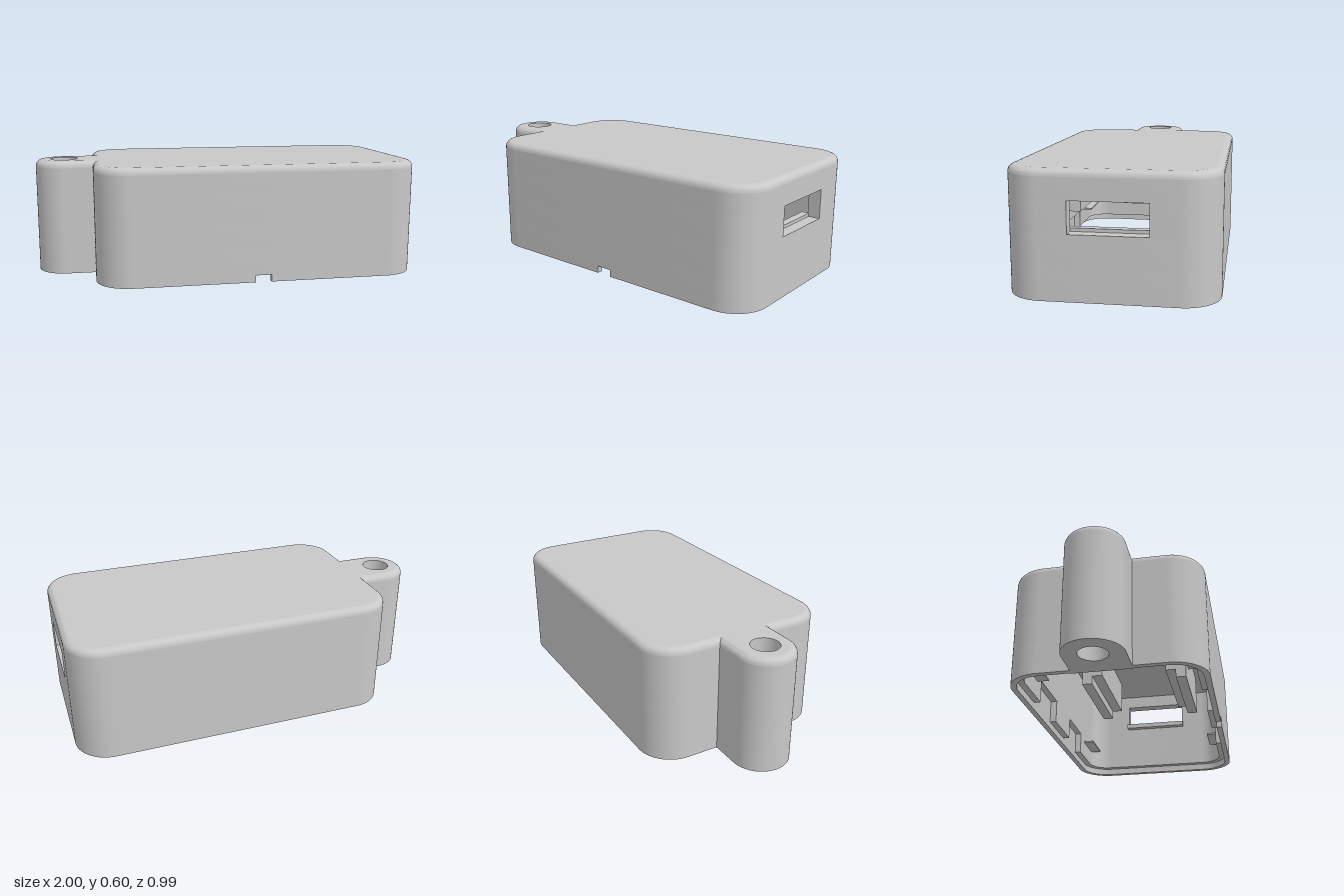
import * as THREE from 'three';
import { toCreasedNormals } from 'three/addons/utils/BufferGeometryUtils.js';

const CX = 0.15, HX = 0.85, HZ = 0.495, R = 0.18; // body plan
const H = 0.603, FILLET = 0.035, SHOULDER = H - FILLET;
const LIP = 0.03, WALL = 0.065;
const LUG_X = -0.85, LUG_R = 0.15, HOLE_R = 0.072;
const V = (x, y) => new THREE.Vector2(x, y);

function arc(cx, cy, r, from, to, n) {
  const pts = [];
  for (let i = 0; i <= n; i++) {
    const a = from + (to - from) * i / n;
    pts.push(V(cx + r * Math.cos(a), cy + r * Math.sin(a)));
  }
  return pts;
}

// Quarter-round corner k of the body plan, counter-clockwise
function corner(k, inset) {
  const sx = [1, -1, -1, 1][k], sy = [1, 1, -1, -1][k];
  return arc(CX + sx * (HX - R), sy * (HZ - R), R - inset, k * Math.PI / 2, (k + 1) * Math.PI / 2, 18);
}

// Body outline; first names the starting corner
const bodyOutline = (inset, first = 0) => [0, 1, 2, 3].flatMap(i => corner((first + i) % 4, inset));

// Inner outline with clip recesses cut into both long sides
function recessedOutline(inset, depth) {
  const y = HZ - inset, side = [];
  for (const [a, b] of [[0.3, 0.57], [-0.27, 0.02]])
    side.push(V(b, y), V(b, y + depth), V(a, y + depth), V(a, y));
  const opposite = side.map(p => V(p.x, -p.y)).reverse();
  return [...corner(0, inset), ...side, ...corner(1, inset), ...corner(2, inset), ...opposite, ...corner(3, inset)];
}

// Lug outline, open end buried in the body wall
function lugOutline(inset) {
  const r = LUG_R - inset;
  return [V(-0.665, r), ...arc(LUG_X, 0, r, Math.PI / 2, Math.PI * 1.5, 36), V(-0.665, -r)];
}

function prism(points, hole, y0, y1) {
  const shape = new THREE.Shape(points);
  if (hole) shape.holes.push(new THREE.Path(hole));
  const g = new THREE.ExtrudeGeometry(shape, { depth: y1 - y0, bevelEnabled: false });
  return toCreasedNormals(g.rotateX(-Math.PI / 2).translate(0, y0, 0), 0.5);
}

// Rounded top edge lofted through inset outlines
function topFillet(outline) {
  const steps = 6, pos = [], idx = [];
  let n = 0;
  for (let i = 0; i <= steps; i++) {
    const a = i / steps * Math.PI / 2;
    const loop = outline(FILLET * (1 - Math.cos(a)));
    n = loop.length;
    for (const p of loop) pos.push(p.x, SHOULDER + FILLET * Math.sin(a), -p.y);
  }
  for (let i = 0; i < steps; i++) for (let j = 0; j < n; j++) {
    const a = i * n + j, b = i * n + (j + 1) % n;
    idx.push(a, b, b + n, a, b + n, a + n);
  }
  const g = new THREE.BufferGeometry();
  g.setAttribute('position', new THREE.Float32BufferAttribute(pos, 3));
  g.setIndex(idx);
  return toCreasedNormals(g, 0.6);
}

function topCap(points, hole) {
  const shape = new THREE.Shape(points);
  if (hole) shape.holes.push(new THREE.Path(hole));
  return new THREE.ShapeGeometry(shape).rotateX(-Math.PI / 2).translate(0, H, 0);
}

export function createModel() {
  const root = new THREE.Group();
  root.name = 'enclosure';
  const grey = new THREE.MeshStandardMaterial({ color: 0xc8c8c8, side: THREE.DoubleSide });
  grey.name = 'grey plastic';
  const add = (name, geometry) => {
    const m = new THREE.Mesh(geometry, grey);
    m.name = name;
    root.add(m);
  };
  const box = (name, x0, x1, y0, y1, z0, z1) => add(name,
    new THREE.BoxGeometry(x1 - x0, y1 - y0, z1 - z0).translate((x0 + x1) / 2, (y0 + y1) / 2, (z0 + z1) / 2));

  // Wall band interrupted by a gap
  const gapBand = (inset, first, start, end) => [
    start(0), ...bodyOutline(0, first), end(0),
    end(inset), ...bodyOutline(inset, first).reverse(), start(inset)];

  // Lower lip with cable notch at the front
  add('lowerLip', prism(gapBand(LIP, 3, i => V(0.19, i - HZ), i => V(0.105, i - HZ)), null, 0, 0.037));
  // Walls: clip recesses, plain band, port opening, upper band
  add('clipWall', prism(bodyOutline(0), recessedOutline(WALL, 0.035), 0.037, 0.16));
  add('middleWall', prism(bodyOutline(0), bodyOutline(WALL), 0.16, 0.312));
  const edge = CX + HX;
  add('portWall', prism(gapBand(WALL, 0, i => V(edge - i, 0.184), i => V(edge - i, -0.184)), null, 0.312, 0.463));
  add('upperWall', prism(bodyOutline(0), bodyOutline(WALL), 0.463, SHOULDER));

  // Roof
  add('roofUnderside', prism(bodyOutline(WALL), null, 0.54, SHOULDER));
  add('roofEdge', topFillet(bodyOutline));
  add('roof', topCap(bodyOutline(FILLET)));

  // Hanging lug with through hole
  const hole = arc(LUG_X, 0, HOLE_R, 0, Math.PI * 2, 32).slice(0, -1);
  add('lug', prism(lugOutline(0), hole, 0, SHOULDER));
  add('lugEdge', topFillet(lugOutline));
  add('lugTop', topCap(lugOutline(FILLET), hole));
  add('lugHoleSleeve', new THREE.CylinderGeometry(HOLE_R, HOLE_R, FILLET, 32, 1, true)
    .translate(LUG_X, H - FILLET / 2, 0));

  // Stepped board rails and thin corner ledges on both sides
  for (const s of [1, -1]) {
    const sideBox = (name, x0, x1, y0, y1, a, b) =>
      box(name, x0, x1, y0, y1, Math.min(s * a, s * b), Math.max(s * a, s * b));
    sideBox('boardRail', 0.12, 0.7, 0.3, 0.54, 0.25, 0.31);
    sideBox('boardRailStep', 0.12, 0.7, 0.35, 0.54, 0.19, 0.25);
    sideBox('frontLedge', 0.66, 0.86, 0.13, 0.14, 0.37, 0.44);
    sideBox('rearLedge', -0.56, -0.33, 0.13, 0.14, 0.37, 0.44);
  }
  // Board stops behind the port
  box('boardStopLeft', 0.06, 0.12, 0.39, 0.54, 0.145, 0.31);
  box('boardStopRight', 0.06, 0.12, 0.39, 0.54, -0.31, 0);
  // Inner block and end ledge
  box('innerBlock', -0.56, -0.12, 0.375, 0.54, 0, 0.32);
  box('endLedge', -0.64, -0.57, 0.13, 0.14, -0.2, 0.2);
  // Sill inside the port
  box('portSill', 0.9, 0.94, 0.30, 0.328, -0.19, 0.19);
  return root;
}
